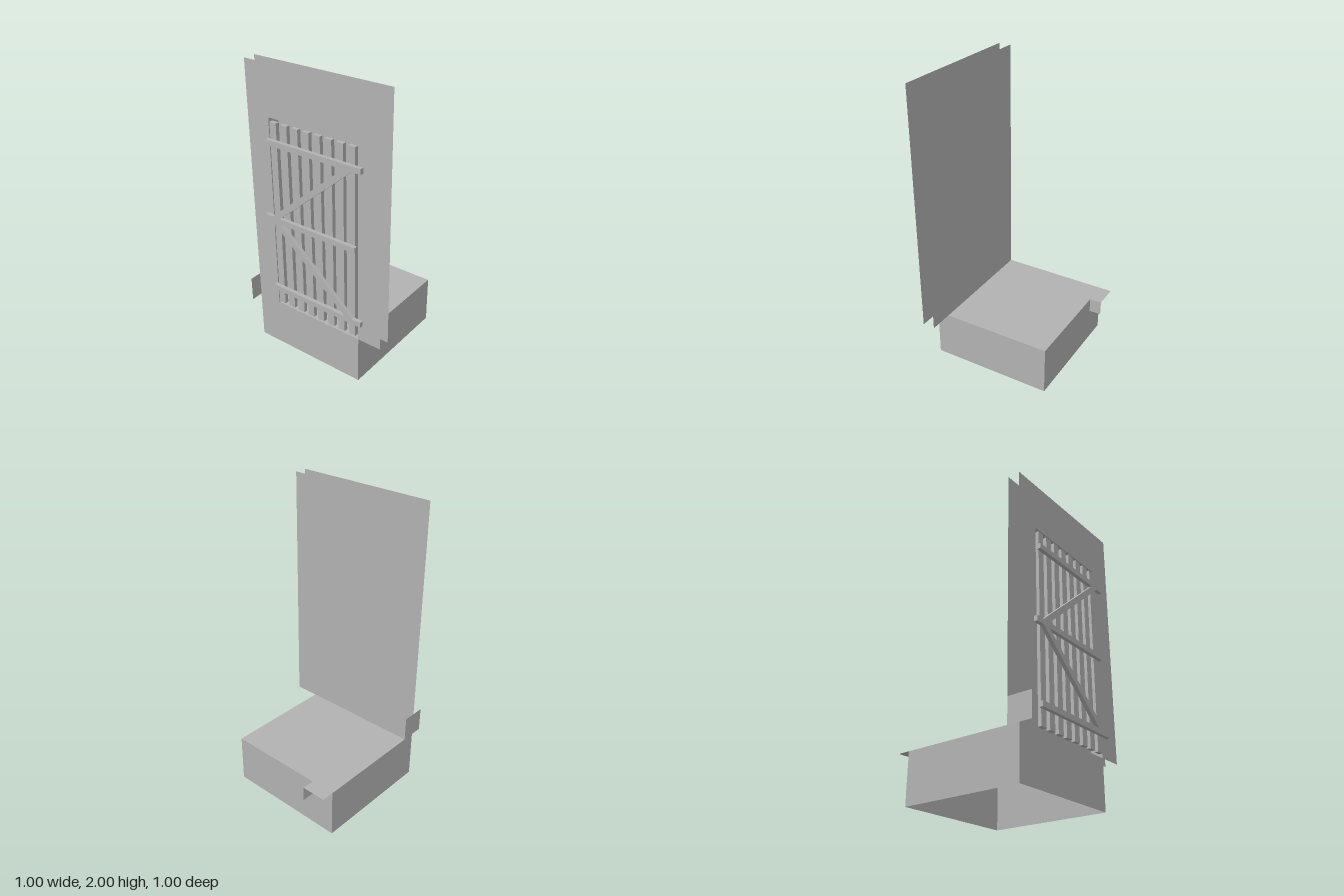
import * as THREE from 'three';

const grey = new THREE.MeshStandardMaterial({ color: 0xb2b2b2, side: THREE.DoubleSide });
grey.name = 'plain grey';

const T = 1 / 3, FRONT = 0.417, BACK = 0.333;

export function createModel() {
  const root = new THREE.Group();
  const add = (name, geometry, parent = root) => {
    const mesh = new THREE.Mesh(geometry, grey);
    mesh.name = name;
    parent.add(mesh);
    return mesh;
  };
  // Box given by its lower and upper bounds
  const box = (name, x0, x1, y0, y1, z0, z1, parent) =>
    add(name, new THREE.BoxGeometry(x1 - x0, y1 - y0, z1 - z0), parent)
      .position.set((x0 + x1) / 2, (y0 + y1) / 2, (z0 + z1) / 2);
  // Single sheets, each facing +x, +y or +z
  const sheetX = (name, x, y0, y1, z0, z1) =>
    add(name, new THREE.PlaneGeometry(z1 - z0, y1 - y0).rotateY(Math.PI / 2)
      .translate(x, (y0 + y1) / 2, (z0 + z1) / 2));
  const sheetY = (name, y, x0, x1, z0, z1) =>
    add(name, new THREE.PlaneGeometry(x1 - x0, z1 - z0).rotateX(-Math.PI / 2)
      .translate((x0 + x1) / 2, y, (z0 + z1) / 2));
  const sheetZ = (name, z, x0, x1, y0, y1) =>
    add(name, new THREE.PlaneGeometry(x1 - x0, y1 - y0)
      .translate((x0 + x1) / 2, (y0 + y1) / 2, z));
  const polygon = (points) => new THREE.Shape(points.map(([x, y]) => new THREE.Vector2(x, y)));

  // Front wall: one sheet down to the ground, with the doorway cut out
  const wall = polygon([[-0.5, 0], [T, 0], [T, T], [0.5, T], [0.5, 2], [-0.5, 2]]);
  // The doorway starts at the step, so its lower edge is nudged clear of the outline
  wall.holes.push(polygon([[-T, T + 0.001], [-T, 5 * T], [T - 0.001, 5 * T], [T - 0.001, T + 0.001]]));
  add('frontWall', new THREE.ShapeGeometry(wall).translate(0, 0, FRONT));

  // Rear wall and the doorway lining between the two walls
  sheetZ('rearWall', BACK, -0.5, 0.5, T, 2);
  for (const s of [-1, 1]) sheetX('doorwaySide', s * T, T, 5 * T, BACK, FRONT);
  sheetY('doorwayTop', 5 * T, -T, T, BACK, FRONT);

  // Step, open underneath
  sheetY('stepTop', T, -0.5, T, -FRONT, FRONT);
  sheetZ('stepBack', -FRONT, -0.5, T, 0, T);
  for (const x of [-0.5, T]) sheetX('stepSide', x, 0, T, -FRONT, FRONT);

  // Overhanging flaps
  sheetY('rearFlapTop', T, -0.5, -T, -0.5, -FRONT);
  sheetX('rearFlapSide', -T, 0.233, T, -0.5, FRONT);
  sheetX('frontFlap', -0.5, T, 0.5, BACK, 0.5);

  // Door of spaced boards
  const door = new THREE.Group();
  door.name = 'door';
  root.add(door);
  for (let i = 0; i < 8; i++) {
    const x = -0.2917 + i / 12;
    box('doorBoard', x - 0.025, x + 0.025, 0.358, 1.646, 0.4, 0.427, door);
  }

  // Horizontal battens
  const Z0 = 0.427, Z1 = 0.453;
  box('topBatten', -T, 0.373, 1.504, 1.54, Z0, Z1, door);
  box('middleBatten', -0.375, 0.33, 0.983, 1.02, Z0, Z1, door);
  box('bottomBatten', -T, 0.373, 0.464, 0.5, Z0, Z1, door);

  // Diagonal braces running out from the middle batten
  for (const [y0, y1] of [[1.02, 1.504], [0.983, 0.5]]) {
    const brace = polygon([[-0.312, y0], [-0.252, y0], [0.31, y1], [0.25, y1]]);
    add('diagonalBrace', new THREE.ExtrudeGeometry(brace, { depth: Z1 - Z0, bevelEnabled: false })
      .translate(0, 0, Z0), door);
  }
  return root;
}
